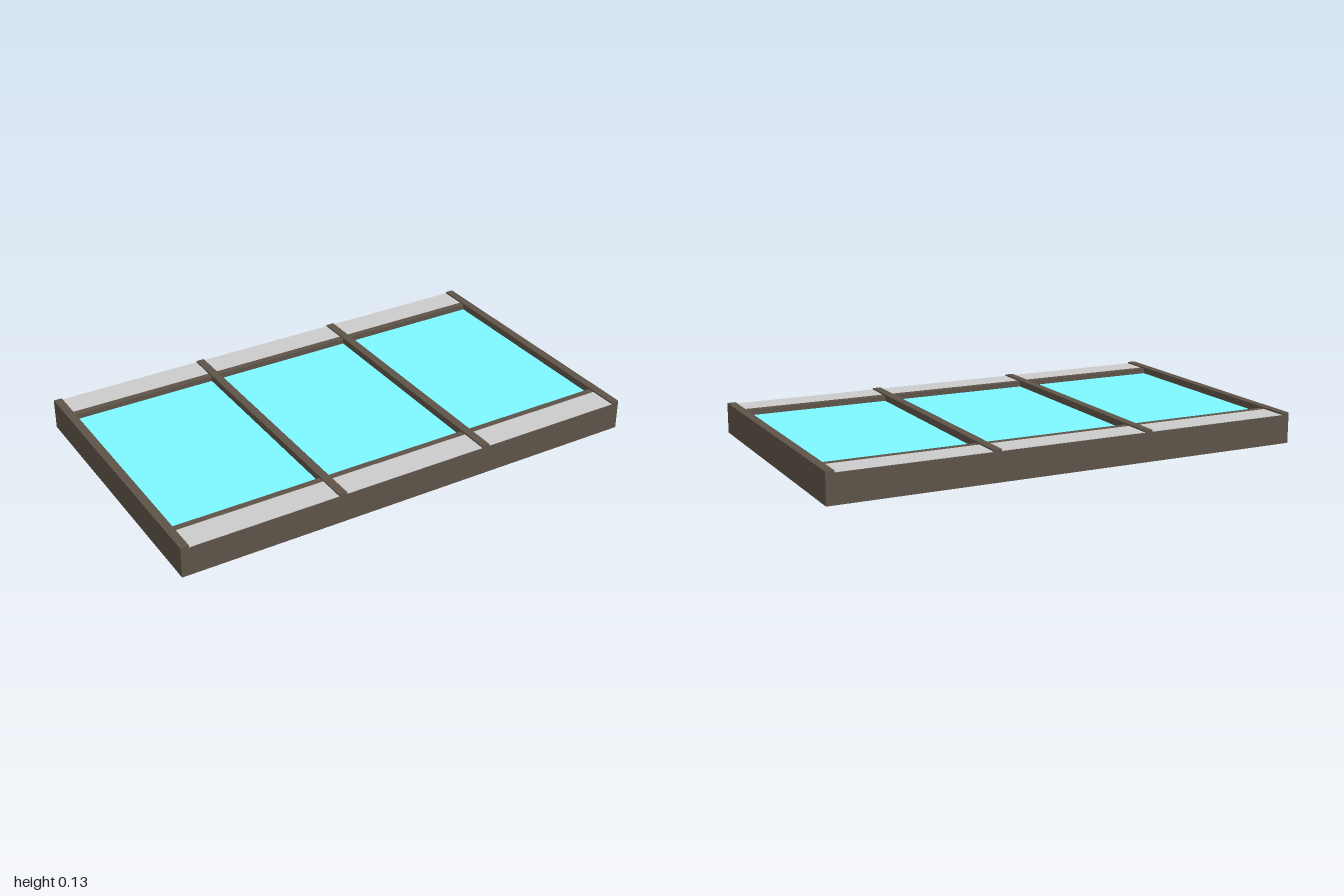
import * as THREE from 'three';

const W = 2, D = 1.2, H = 0.128;      // overall size
const BAR = 0.035;                    // width of the long bars
const DECK = 0.122, GLASS = 0.1;      // heights of the end decks and the recessed glass
const RAIL_IN = 0.455, RAIL_OUT = 0.483;

export function createModel() {
  const model = new THREE.Group();
  model.name = 'framedPanel';
  const brown = new THREE.MeshStandardMaterial({ color: 0x5d5348 });
  const cyan = new THREE.MeshStandardMaterial({ color: 0x7ef7ff });
  const grey = new THREE.MeshStandardMaterial({ color: 0xcccccc });

  // Box given by its limits on each axis
  const block = (name, material, x0, x1, y0, y1, z0, z1) => {
    const mesh = new THREE.Mesh(new THREE.BoxGeometry(x1 - x0, y1 - y0, z1 - z0), material);
    mesh.position.set((x0 + x1) / 2, (y0 + y1) / 2, (z0 + z1) / 2);
    mesh.name = name;
    model.add(mesh);
  };

  // Solid tray under everything
  const base = GLASS - 0.01;
  block('base', brown, -W / 2, W / 2, 0, base, -D / 2, D / 2);

  // Four bars running front to back, evenly spaced
  const pitch = (W - BAR) / 3;
  for (let i = 0; i < 4; i++) {
    const x = -W / 2 + i * pitch;
    block('bar', brown, x, x + BAR, base, H, -D / 2, D / 2);
  }

  // Three bays: recessed glass, cross rails and end decks
  for (let i = 0; i < 3; i++) {
    const x0 = -W / 2 + BAR + i * pitch, x1 = x0 + pitch - BAR;
    block('glass', cyan, x0, x1, base, GLASS, -RAIL_IN, RAIL_IN);
    for (const s of [-1, 1]) {
      const span = (a, b) => (s > 0 ? [a, b] : [-b, -a]);
      block('crossRail', brown, x0, x1, base, DECK, ...span(RAIL_IN, RAIL_OUT));
      block('deckCore', brown, x0, x1, base, DECK - 0.002, ...span(RAIL_OUT, D / 2));
      block('deckPlate', grey, x0, x1, DECK - 0.002, DECK, ...span(RAIL_OUT, D / 2));
    }
  }
  return model;
}
